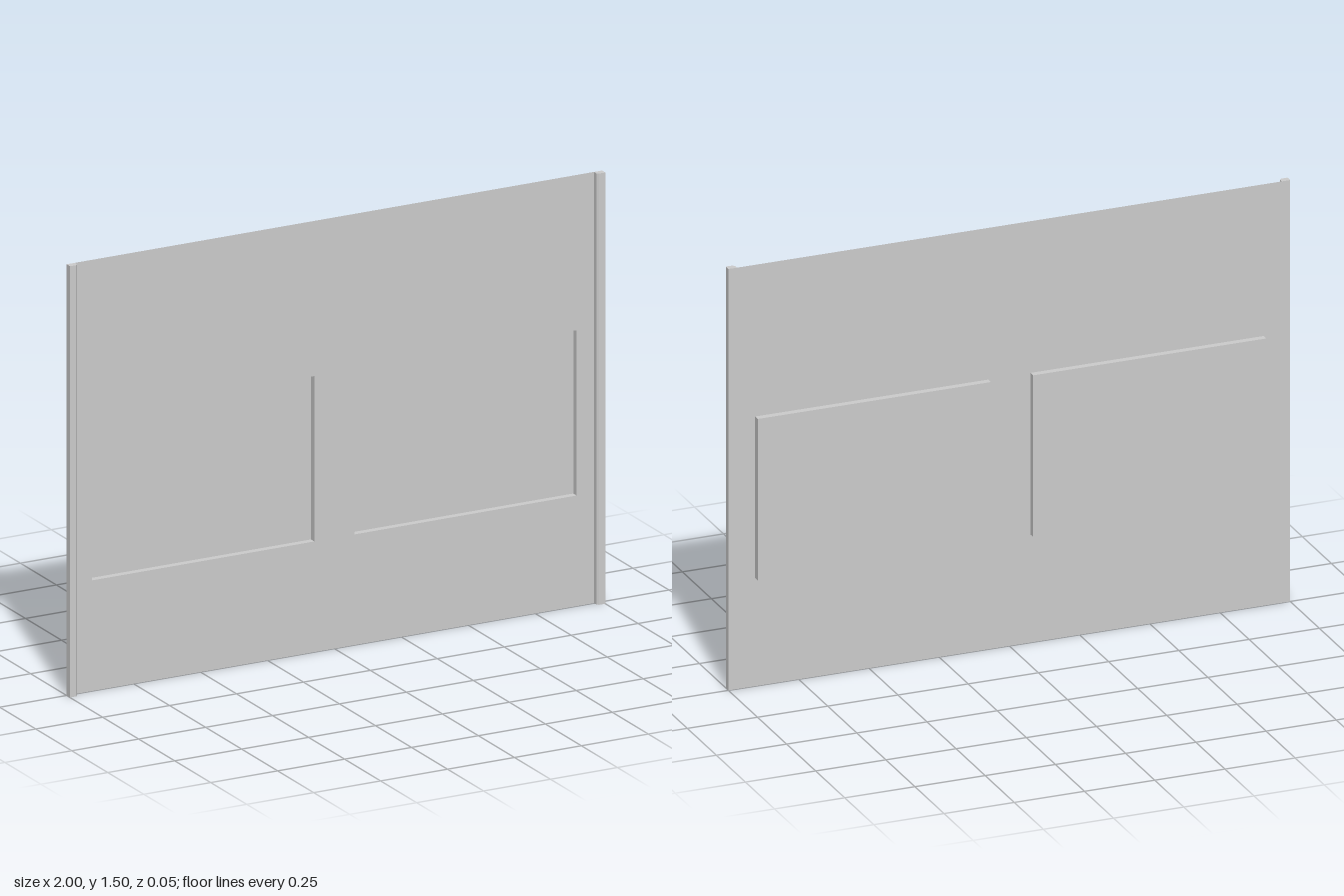
import * as THREE from 'three';

const H = 1.5, EDGE = 0.97, D = 0.023;
const RX0 = 0.075, RX1 = 0.905, RY0 = 0.385, RY1 = 0.96;

const sheetMat = new THREE.MeshStandardMaterial({ color: 0xcccccc, side: THREE.DoubleSide, flatShading: true });
const stripMat = new THREE.MeshStandardMaterial({ color: 0xcccccc, flatShading: true });

function add(parent, name, geometry, material) {
  const mesh = new THREE.Mesh(geometry, material);
  mesh.name = name;
  parent.add(mesh);
  return mesh;
}

function trace(path, points) {
  path.setFromPoints(points.map(([x, y]) => new THREE.Vector2(x, y)));
  path.closePath();
  return path;
}

// Pressed pocket: a back panel and four thin walls
function createPocket(name) {
  const pocket = new THREE.Group();
  pocket.name = name;
  const w = RX1 - RX0, h = RY1 - RY0;
  add(pocket, 'pocketBack', new THREE.PlaneGeometry(w, h), sheetMat).position.z = -D;
  for (const s of [-1, 1]) {
    const side = add(pocket, 'pocketSide', new THREE.PlaneGeometry(D, h), sheetMat);
    side.position.set(s * w / 2, 0, -D / 2);
    side.rotation.y = -s * Math.PI / 2;
    const ledge = add(pocket, 'pocketLedge', new THREE.PlaneGeometry(w, D), sheetMat);
    ledge.position.set(0, s * h / 2, -D / 2);
    ledge.rotation.x = s * Math.PI / 2;
  }
  return pocket;
}

// Upright edge strip with its inner front corner bevelled
function createStrip(s) {
  const bevel = 0.007;
  const points = [[EDGE, 0], [1, 0], [1, -D], [EDGE + bevel, -D], [EDGE, -D + bevel]]
    .map(([x, y]) => [s * x, y]);
  const geometry = new THREE.ExtrudeGeometry(trace(new THREE.Shape(), points), { depth: H, bevelEnabled: false });
  return geometry.rotateX(-Math.PI / 2);
}

export function createModel() {
  const model = new THREE.Group();
  model.name = 'panel';

  // Thin sheet with two rectangular openings
  const outline = trace(new THREE.Shape(), [[-EDGE, 0], [EDGE, 0], [EDGE, H], [-EDGE, H]]);
  for (const s of [-1, 1]) {
    outline.holes.push(trace(new THREE.Path(),
      [[s * RX0, RY0], [s * RX0, RY1], [s * RX1, RY1], [s * RX1, RY0]]));
  }
  add(model, 'sheet', new THREE.ShapeGeometry(outline), sheetMat);

  // Mirrored pockets and edge strips
  for (const s of [-1, 1]) {
    const side = s > 0 ? 'left' : 'right';
    const pocket = createPocket(side + 'Pocket');
    pocket.position.set(s * (RX0 + RX1) / 2, (RY0 + RY1) / 2, 0);
    model.add(pocket);
    add(model, side + 'EdgeStrip', createStrip(s), stripMat);
  }
  return model;
}
